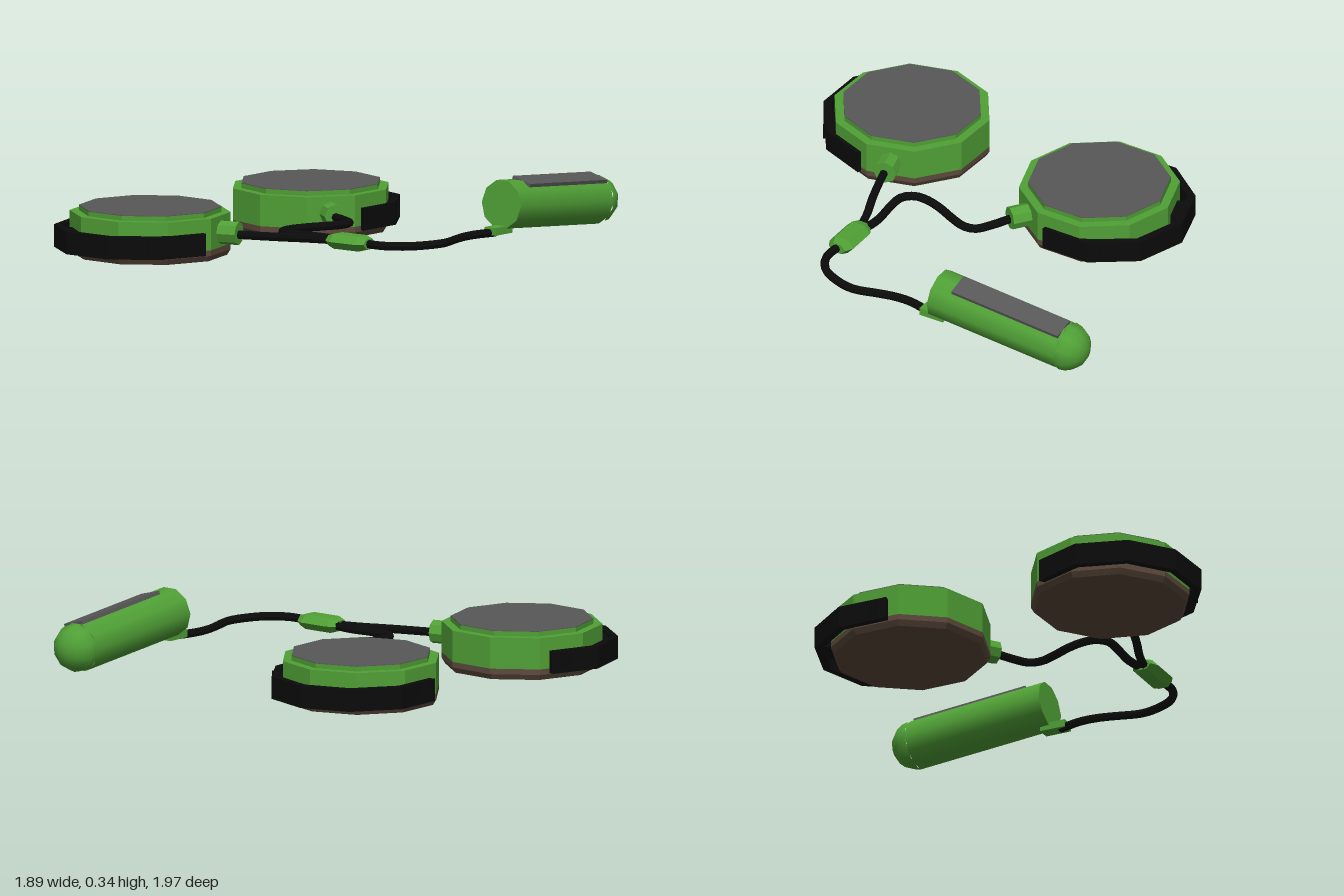
import * as THREE from 'three';

const mat = (name, color, flat = true) => {
  const m = new THREE.MeshStandardMaterial({ color, flatShading: flat });
  m.name = name;
  return m;
};

export function createModel() {
  const green = mat('green', 0x50a036);
  const smoothGreen = mat('green', 0x50a036, false);
  const grey = mat('grey', 0x585858);
  const black = mat('black', 0x0b0b0b);
  const brown = mat('brown', 0x5c493c);
  const model = new THREE.Group();

  const add = (parent, name, geo, material, x = 0, y = 0, z = 0) => {
    const m = new THREE.Mesh(geo, material);
    m.name = name;
    m.position.set(x, y, z);
    parent.add(m);
    return m;
  };
  const drum = (rTop, rBottom, h) => new THREE.CylinderGeometry(rTop, rBottom, h, 10);
  const rad = THREE.MathUtils.degToRad;

  // Strap corners: angle from the cable socket, outer radius
  const strapPoints = [[226, 0.373], [191.5, 0.405], [158, 0.423], [126.5, 0.427],
    [94, 0.415], [60, 0.388], [24.5, 0.364]];

  // Ten-sided foot pad with socket and open strap; side mirrors the strap
  function footPad(name, x, z, angle, side) {
    const pad = new THREE.Group();
    pad.name = name;
    pad.position.set(x, 0, z);
    pad.rotation.y = -rad(angle);
    add(pad, 'soleChamfer', drum(0.355, 0.34, 0.025), brown, 0, 0.0125);
    add(pad, 'sole', drum(0.355, 0.355, 0.025), brown, 0, 0.0375);
    add(pad, 'body', drum(0.355, 0.355, 0.14), green, 0, 0.12);
    add(pad, 'topStep', drum(0.315, 0.315, 0.022), green, 0, 0.2);
    add(pad, 'topSurface', drum(0.315, 0.315, 0.003), grey, 0, 0.2125);

    const socket = add(pad, 'cableSocket',
      new THREE.CylinderGeometry(0.052, 0.052, 0.11, 8), green, 0.37, 0.115);
    socket.rotation.z = Math.PI / 2;

    const corner = (a, r) => new THREE.Vector2(r * Math.cos(rad(a)), side * r * Math.sin(rad(a)));
    const outer = strapPoints.map(([a, r]) => corner(a, r));
    const inner = strapPoints.map(([a, r]) => corner(a, r - 0.034)).reverse();
    const strapGeo = new THREE.ExtrudeGeometry(new THREE.Shape([...outer, ...inner]),
      { depth: 0.1, bevelEnabled: false });
    strapGeo.rotateX(Math.PI / 2);
    add(pad, 'strap', strapGeo, black, 0, 0.13);

    // Blocks joining the strap to the body
    for (const [a, r, depth] of [[210, 0.352, 0.035], [144, 0.365, 0.07], [78, 0.36, 0.055]]) {
      const p = corner(a, r);
      const block = add(pad, 'strapMount', new THREE.BoxGeometry(depth, 0.07, 0.125), black, p.x, 0.085, p.y);
      block.rotation.y = -side * rad(a);
    }
    model.add(pad);
  }
  footPad('frontPad', -0.54, 0.56, -10.3, 1);
  footPad('backPad', -0.36, -0.452, 41.5, -1);

  // Cables lying level between the parts
  function cable(name, pts) {
    const curve = new THREE.CatmullRomCurve3(pts.map(([x, z]) => new THREE.Vector3(x, 0.11, z)));
    add(model, name, new THREE.TubeGeometry(curve, pts.length * 3, 0.019, 8), black);
  }
  cable('frontPadCable', [[-0.15, 0.495], [-0.02, 0.468], [0.08, 0.444], [0.21, 0.407], [0.34, 0.385]]);
  cable('backPadCable', [[-0.06, -0.18], [0.037, -0.12], [0.095, -0.07], [0.1, -0.015],
    [0.063, 0.063], [0.016, 0.143], [-0.016, 0.222], [-0.02, 0.285], [0.016, 0.333],
    [0.106, 0.344], [0.228, 0.346], [0.34, 0.375]]);
  cable('handleCable', [[0.47, 0.4], [0.593, 0.413], [0.683, 0.37], [0.74, 0.286],
    [0.767, 0.196], [0.75, 0.08], [0.74, 0], [0.746, -0.08], [0.783, -0.19]]);

  // Cable splitter: flattened six-sided barrel with tapered ends
  const barrel = new THREE.LatheGeometry([[0, -0.107], [0.042, -0.107], [0.062, -0.07],
    [0.062, 0.07], [0.042, 0.107], [0, 0.107]].map(([r, y]) => new THREE.Vector2(r, y)), 6);
  barrel.rotateZ(-Math.PI / 2);
  barrel.scale(1, 0.62, 1);
  const splitter = add(model, 'cableSplitter', barrel, green, 0.403, 0.11, 0.393);
  splitter.rotation.y = -rad(5);

  // Handle: tilted cylinder along -z with a domed far end
  const handle = new THREE.Group();
  handle.name = 'handle';
  const start = new THREE.Vector3(0.782, 0.228, -0.24);
  const end = new THREE.Vector3(0.839, 0.172, -0.895);
  const length = start.distanceTo(end);
  handle.position.copy(start);
  handle.lookAt(start.clone().multiplyScalar(2).sub(end));
  const tube = new THREE.CylinderGeometry(0.11, 0.11, length, 10);
  tube.rotateY(Math.PI / 10);
  tube.rotateX(Math.PI / 2);
  tube.rotateZ(Math.PI / 10);
  tube.rotateZ(-Math.PI / 10);
  add(handle, 'grip', tube, smoothGreen, 0, 0, -length / 2);
  const dome = new THREE.SphereGeometry(0.11, 10, 5, 0, Math.PI * 2, 0, Math.PI / 2);
  dome.rotateY(Math.PI / 10);
  dome.rotateX(-Math.PI / 2);
  dome.scale(1, 1, 0.95);
  add(handle, 'gripDome', dome, smoothGreen, 0, 0, -length);

  // Flat panel let into the upper side of the grip
  const panelPivot = new THREE.Group();
  panelPivot.name = 'gripPanel';
  panelPivot.rotation.z = -rad(15);
  add(panelPivot, 'panel', new THREE.BoxGeometry(0.104, 0.016, 0.55), grey, 0, 0.103, -0.375);
  handle.add(panelPivot);
  model.add(handle);

  // Flat cable tab under the near end of the handle
  const tab = add(model, 'handleCableTab', new THREE.BoxGeometry(0.062, 0.034, 0.12), green, 0.784, 0.118, -0.215);
  tab.rotation.y = -rad(5);

  return model;
}
